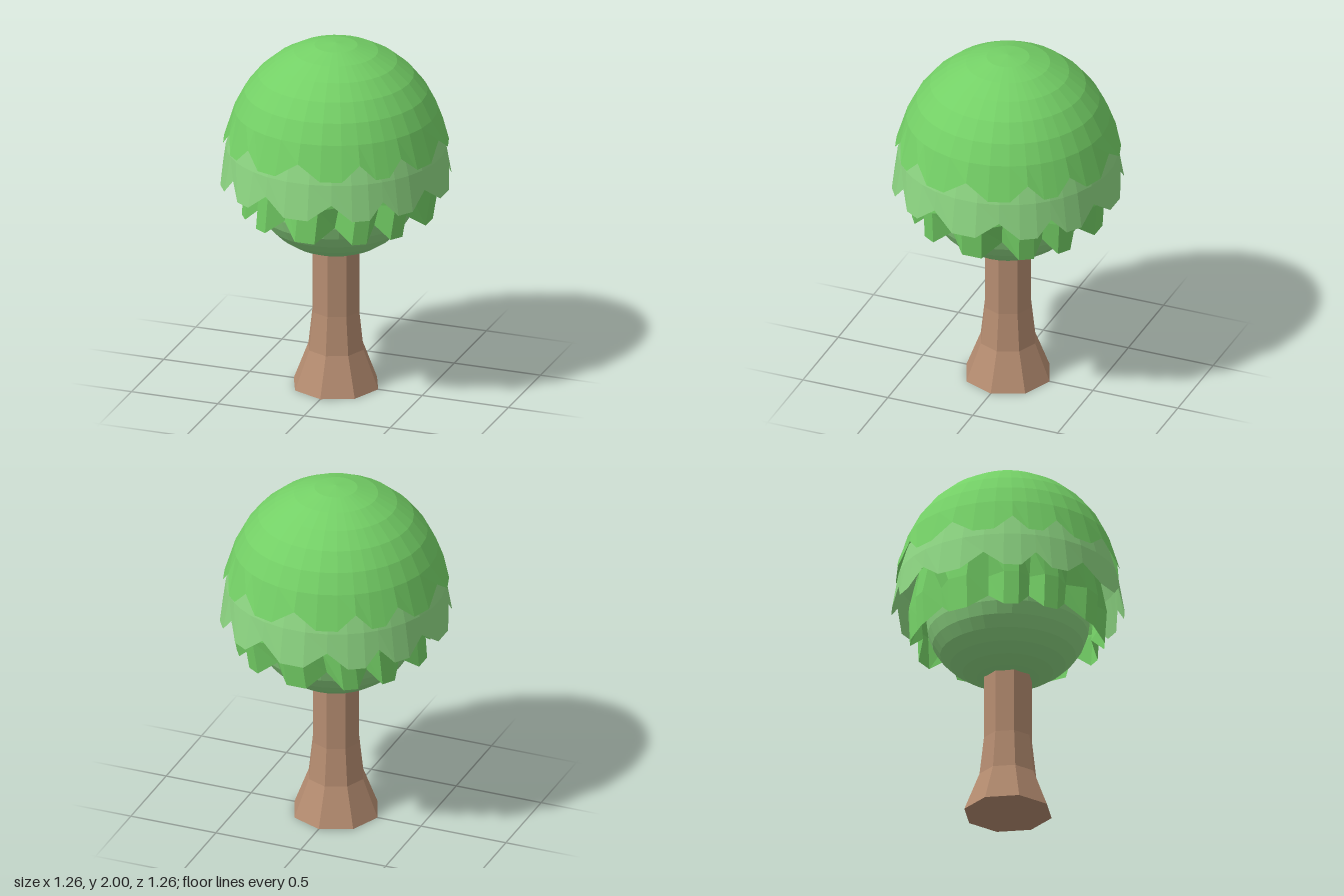
import * as THREE from 'three';

const mat = (name, color, extra = {}) =>
  new THREE.MeshStandardMaterial({ name, color, flatShading: true, ...extra });

const SIDES = 36;
// Column angle, slightly bunched toward the diagonals
const columnAngle = (deg) =>
  THREE.MathUtils.degToRad(deg + 3.5 * Math.sin(THREE.MathUtils.degToRad(4 * deg)));

// Surface of stacked rings (top to bottom); each ring(i, isNotch) gives [radius, y, dx, dz]
function ringSurface(rings, phase, notchColumn) {
  const pos = [], index = [];
  rings.forEach((ring, r) => {
    for (let i = 0; i < SIDES; i++) {
      const a = columnAngle(i * 360 / SIDES + phase);
      const [radius, y, dx = 0, dz = 0] = ring(i % 3 === notchColumn);
      pos.push(radius * Math.sin(a) + dx, y, radius * Math.cos(a) + dz);
      if (r === 0) continue;
      const j = (i + 1) % SIDES, up = (r - 1) * SIDES, low = r * SIDES;
      index.push(up + i, low + i, low + j, up + i, low + j, up + j);
    }
  });
  const g = new THREE.BufferGeometry();
  g.setAttribute('position', new THREE.Float32BufferAttribute(pos, 3));
  g.setIndex(index);
  g.computeVertexNormals();
  return g;
}

export function createModel() {
  const tree = new THREE.Group();
  tree.name = 'tree';
  const leaf = mat('leafGreen', 0x74d066, { side: THREE.DoubleSide });
  const paleLeaf = mat('paleLeafGreen', 0x8cd481, { side: THREE.DoubleSide });
  const bark = mat('barkBrown', 0xb68d71);

  const add = (name, geometry, material) => {
    const mesh = new THREE.Mesh(geometry, material);
    mesh.name = name;
    tree.add(mesh);
    return mesh;
  };

  // Eight-sided trunk with a flared foot
  const trunkProfile = [[0, 0], [0.245, 0], [0.16, 0.22], [0.135, 0.44], [0.135, 0.86], [0, 0.86]]
    .map(([x, y]) => new THREE.Vector2(x, y));
  add('trunk', new THREE.LatheGeometry(trunkProfile, 8), bark);

  // Rounded inner crown
  const core = add('innerCrown', new THREE.SphereGeometry(0.445, 32, 16), paleLeaf);
  core.scale.y = 0.365 / 0.445;
  core.position.y = 1.15;

  // Lower pleated leaf skirt
  add('lowerSkirt', ringSurface([
    () => [0.5, 1.4, 0.02, -0.01],
    (notch) => [notch ? 0.48 : 0.54, 1.22, 0.03, -0.02],
    (notch) => notch ? [0.47, 1.1, 0.01, -0.01] : [0.53, 1.02, 0.01, -0.01],
  ], 5, 1), leaf);

  // Middle pale leaf skirt
  add('middleSkirt', ringSurface([
    () => [0.555, 1.55],
    () => [0.6, 1.4],
    (notch) => notch ? [0.615, 1.29] : [0.635, 1.2],
  ], 5, 1), paleLeaf);

  // Top dome with a notched rim
  const dome = [];
  for (let k = 0; k <= 6; k++) {
    const t = k * Math.PI / 16;
    dome.push(() => [0.6 * Math.sin(t), 1.38 + 0.62 * Math.cos(t)]);
  }
  dome.push((notch) => notch ? [0.595, 1.51] : [0.615, 1.425]);
  add('topDome', ringSurface(dome, 0, 0), leaf);

  return tree;
}
